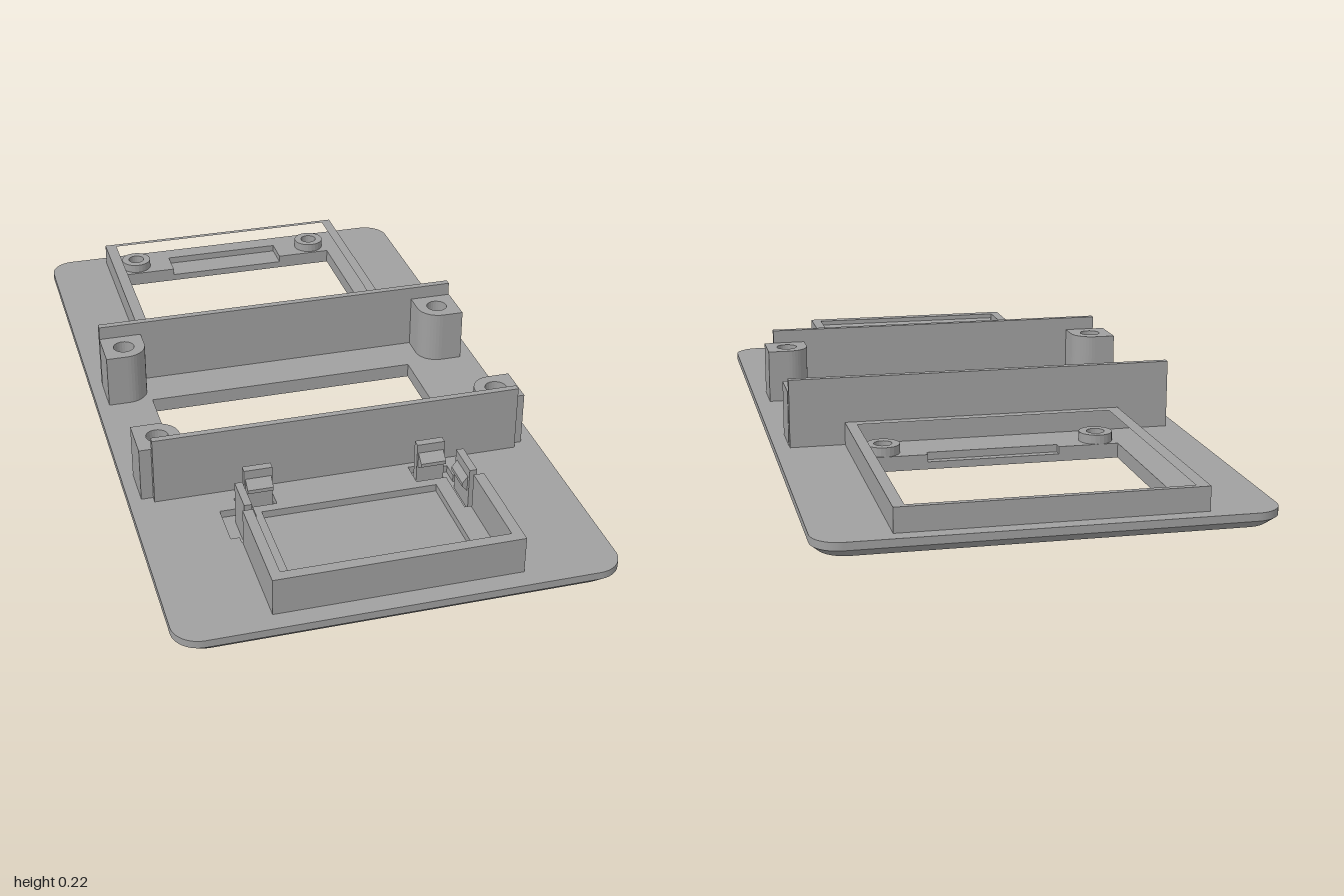
import * as THREE from 'three';

const gray = new THREE.MeshStandardMaterial({ color: 0xa0a0a0 });
gray.name = 'plastic gray';

// Corner points of a rectangle in plan (x, z)
const rect = (x0, x1, z0, z1) => [[x0, z0], [x1, z0], [x1, z1], [x0, z1]];
const vectors = (pts) => pts.map(([x, z]) => new THREE.Vector2(x, -z));

// Raise a plan outline, with holes, from y0 to y1
function raise(shape, holes, y0, y1) {
  for (const h of holes) shape.holes.push(h instanceof THREE.Path ? h : new THREE.Path(vectors(h)));
  const geo = new THREE.ExtrudeGeometry(shape, { depth: y1 - y0, bevelEnabled: false, curveSegments: 12 });
  return geo.rotateX(-Math.PI / 2).translate(0, y0, 0);
}
const raisePoints = (pts, holes, y0, y1) => raise(new THREE.Shape(vectors(pts)), holes, y0, y1);

function circlePath(x, z, r, Type = THREE.Path) {
  return new Type().absarc(x, -z, r, 0, Math.PI * 2);
}

function plateOutline() {
  const w = 0.56, l = 1, r = 0.07, s = new THREE.Shape();
  s.absarc(w - r, l - r, r, 0, Math.PI / 2);
  s.absarc(r - w, l - r, r, Math.PI / 2, Math.PI);
  s.absarc(r - w, r - l, r, Math.PI, Math.PI * 1.5);
  s.absarc(w - r, r - l, r, Math.PI * 1.5, Math.PI * 2);
  s.closePath();
  return s;
}

export function createModel() {
  const model = new THREE.Group();
  model.name = 'mountingPanel';
  const add = (name, geo, parent = model) => {
    const mesh = new THREE.Mesh(geo, gray);
    mesh.name = name;
    parent.add(mesh);
    return mesh;
  };
  const box = (name, x0, x1, y0, y1, z0, z1, parent) => add(name,
    new THREE.BoxGeometry(x1 - x0, y1 - y0, z1 - z0)
      .translate((x0 + x1) / 2, (y0 + y1) / 2, (z0 + z1) / 2), parent);

  const rearWindow = rect(-0.343, 0.336, -0.862, -0.359);
  const middleWindow = rect(-0.403, 0.357, -0.077, 0.288);
  const cx = -0.004; // shared centre line of the front holder
  const mirror = (pts) => pts.map(([x, z]) => [2 * cx - x, z]);

  // Lower half of the plate, drawn in along its bottom rim
  const lower = raise(plateOutline(), [rearWindow, middleWindow], 0, 0.02);
  const p = lower.attributes.position;
  for (let i = 0; i < p.count; i++) {
    const x = p.getX(i), z = p.getZ(i);
    if (p.getY(i) < 0.01 && (Math.abs(x) > 0.45 || Math.abs(z) > 0.9)) {
      p.setX(i, x * 0.965);
      p.setZ(i, z * 0.98);
    }
  }
  lower.computeVertexNormals();
  add('plateLower', lower);

  // Upper half, with shallow recesses open at the top
  const notchedWindow = [
    [-0.343, -0.862], [-0.18, -0.862], [-0.18, -0.945], [0.174, -0.945], [0.174, -0.862], [0.336, -0.862],
    [0.336, -0.359], [0.174, -0.359], [0.174, -0.338], [-0.18, -0.338], [-0.18, -0.359], [-0.343, -0.359]];
  const clipRelief = [
    [-0.295, 0.46], [-0.27, 0.46], [-0.27, 0.44], [-0.193, 0.44], [-0.193, 0.51], [-0.275, 0.51],
    [-0.275, 0.652], [-0.32, 0.652], [-0.32, 0.63], [-0.343, 0.63], [-0.343, 0.507], [-0.295, 0.507]];
  const holderRecess = rect(-0.24, 0.23, 0.537, 0.865);
  add('plateUpper', raise(plateOutline(),
    [notchedWindow, middleWindow, holderRecess, clipRelief, mirror(clipRelief)], 0.02, 0.04));

  // Rear window frame and its screw bosses
  add('rearFrame', raisePoints(rect(-0.383, 0.372, -0.963, -0.222),
    [rect(-0.35, 0.343, -0.948, -0.25)], 0.04, 0.102));
  for (const x of [-0.293, 0.286]) for (const z of [-0.914, -0.314]) {
    add('rearBoss', raise(circlePath(x, z, 0.045, THREE.Shape), [circlePath(x, z, 0.024)], 0.04, 0.065));
  }

  // Two upright walls beside the middle window
  box('middleBackWall', -0.525, 0.519, 0.04, 0.224, -0.219, -0.2);
  box('middleFrontWall', -0.495, 0.493, 0.04, 0.224, 0.404, 0.422);

  // Posts with one rounded corner facing the middle window
  const post = (x, z, sx, sz) => {
    const h = 0.059, s = new THREE.Shape();
    const pts = [[-h, -h], [h, -h]];
    for (let i = 0; i <= 10; i++) {
      const a = i / 10 * Math.PI / 2;
      pts.push([h * Math.cos(a), h * Math.sin(a)]);
    }
    pts.push([-h, h]);
    s.setFromPoints(vectors(pts.map(([u, v]) => [x + sx * u, z + sz * v])));
    add('screwPost', raise(s, [circlePath(x, z, 0.029)], 0.04, 0.188));
  };
  for (const [x, sx] of [[-0.467, 1], [0.461, -1]]) {
    post(x, -0.139, sx, 1);
    post(x, 0.342, sx, -1);
  }

  // Front holder: three-sided wall with a sloped lip
  add('holderWall', raisePoints([
    [-0.318, 0.657], [-0.292, 0.657], [-0.292, 0.919], [0.284, 0.919],
    [0.284, 0.657], [0.312, 0.657], [0.312, 0.948], [-0.318, 0.948]], [], 0.04, 0.139));
  const lip = new THREE.Shape([[0.922, 0.128], [0.882, 0.1], [0.882, 0.09], [0.922, 0.075]]
    .map(([z, y]) => new THREE.Vector2(-z, y)));
  add('holderLip', new THREE.ExtrudeGeometry(lip, { depth: 0.57, bevelEnabled: false })
    .rotateY(Math.PI / 2).translate(-0.289, 0, 0));

  // Spring clips: side tongue with inward ridge, back tongue with forward hook
  const ridge = (width, len) => new THREE.ExtrudeGeometry(
    new THREE.Shape([[0, -0.02], [width, -0.005], [width, 0.005], [0, 0.025]]
      .map(([u, v]) => new THREE.Vector2(u, v))), { depth: len, bevelEnabled: false });
  for (const side of [-1, 1]) {
    const clip = new THREE.Group();
    clip.name = side < 0 ? 'rightClip' : 'leftClip';
    model.add(clip);
    const bar = (name, a, b, y0, y1, z0, z1) => box(name,
      Math.min(cx + side * a, cx + side * b), Math.max(cx + side * a, cx + side * b), y0, y1, z0, z1, clip);
    bar('sideTongue', 0.285, 0.305, 0.02, 0.139, 0.535, 0.637);
    bar('backTongue', 0.195, 0.27, 0.02, 0.139, 0.468, 0.49);
    const sideRidge = ridge(0.015, 0.08);
    if (side > 0) sideRidge.rotateY(Math.PI);
    sideRidge.translate(cx + side * 0.286, 0.09, side > 0 ? 0.626 : 0.546);
    add('sideRidge', sideRidge, clip);
    add('backHook', ridge(0.026, 0.068).rotateY(-Math.PI / 2)
      .translate(cx + side * 0.2325 + 0.034, 0.09, 0.489), clip);
  }
  return model;
}
